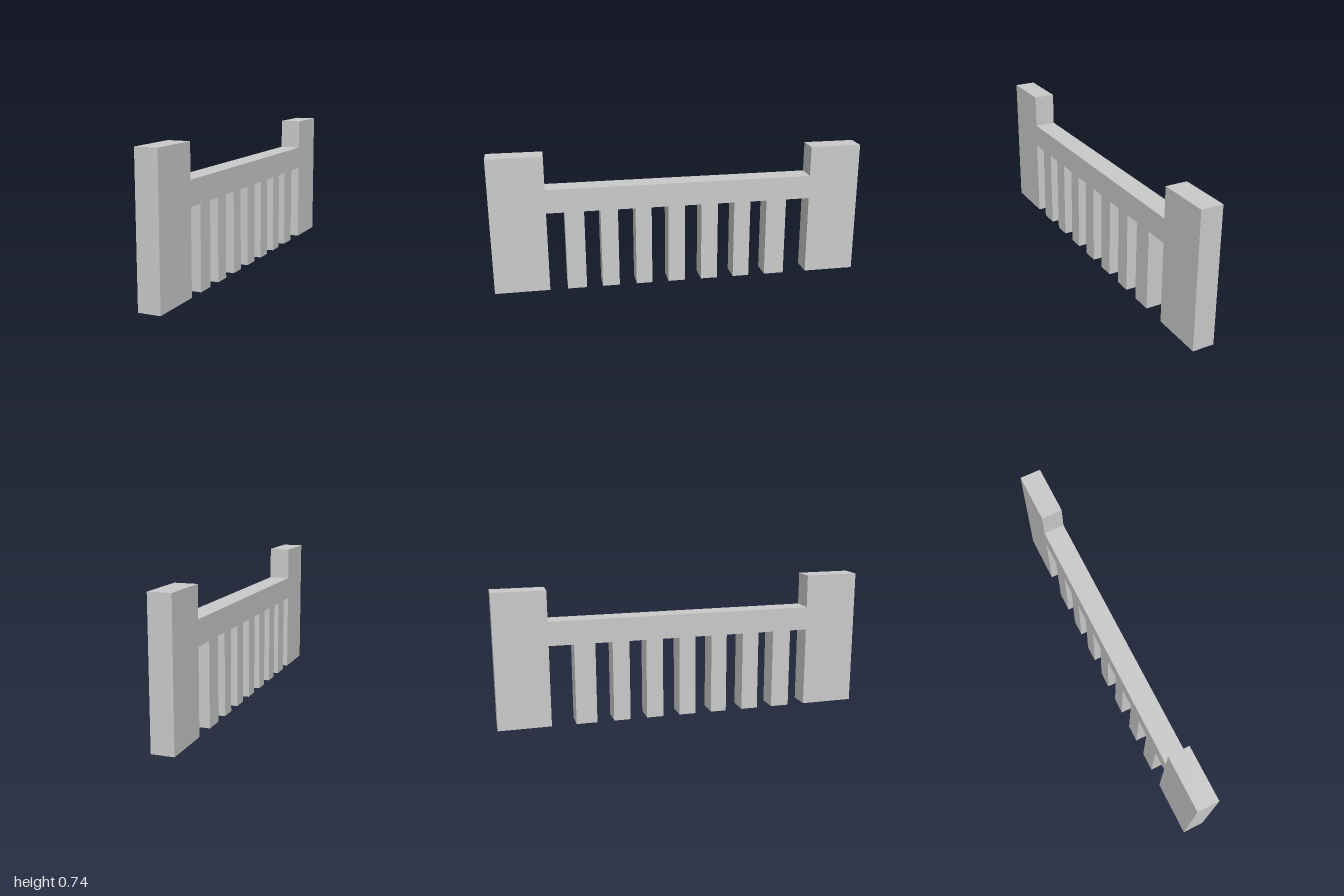
import * as THREE from 'three';

const WIDTH = 0.115;
const RAIL_TOP = 0.56, RAIL_BOTTOM = 0.433;
const FRONT_POST = { inner: 0.709, height: 0.737 };
const BACK_POST = { inner: -0.722, height: 0.722 };

// Front and back edge (z) of each baluster, from front to back
const BALUSTERS = [
  [0.614, 0.512], [0.426, 0.334], [0.241, 0.154], [0.064, -0.027],
  [-0.118, -0.209], [-0.3, -0.39], [-0.481, -0.592],
];

export function createModel() {
  const group = new THREE.Group();
  group.name = 'balustrade';

  // Side outline, drawn with -z to the right so it can be turned into place
  const outline = [];
  const add = (z, y) => outline.push(new THREE.Vector2(-z, y));

  // Front post: foot and inner edge up to the rail
  add(1, 0);
  add(FRONT_POST.inner, 0);
  add(FRONT_POST.inner, RAIL_BOTTOM);

  // Balusters hanging from the underside of the rail to the ground
  for (const [front, back] of BALUSTERS) {
    add(front, RAIL_BOTTOM);
    add(front, 0);
    add(back, 0);
    add(back, RAIL_BOTTOM);
  }

  // Back post
  add(BACK_POST.inner, RAIL_BOTTOM);
  add(BACK_POST.inner, 0);
  add(-1, 0);
  add(-1, BACK_POST.height);
  add(BACK_POST.inner, BACK_POST.height);

  // Top of the rail, then the top of the front post
  add(BACK_POST.inner, RAIL_TOP);
  add(FRONT_POST.inner, RAIL_TOP);
  add(FRONT_POST.inner, FRONT_POST.height);
  add(1, FRONT_POST.height);

  // One solid slab, centred across x
  const geometry = new THREE.ExtrudeGeometry(new THREE.Shape(outline), {
    depth: WIDTH, bevelEnabled: false,
  });
  geometry.translate(0, 0, -WIDTH / 2);
  geometry.rotateY(Math.PI / 2);

  const material = new THREE.MeshStandardMaterial({ color: 0xcccccc, flatShading: true });
  const railing = new THREE.Mesh(geometry, material);
  railing.name = 'railingWithPostsAndBalusters';
  group.add(railing);
  return group;
}
